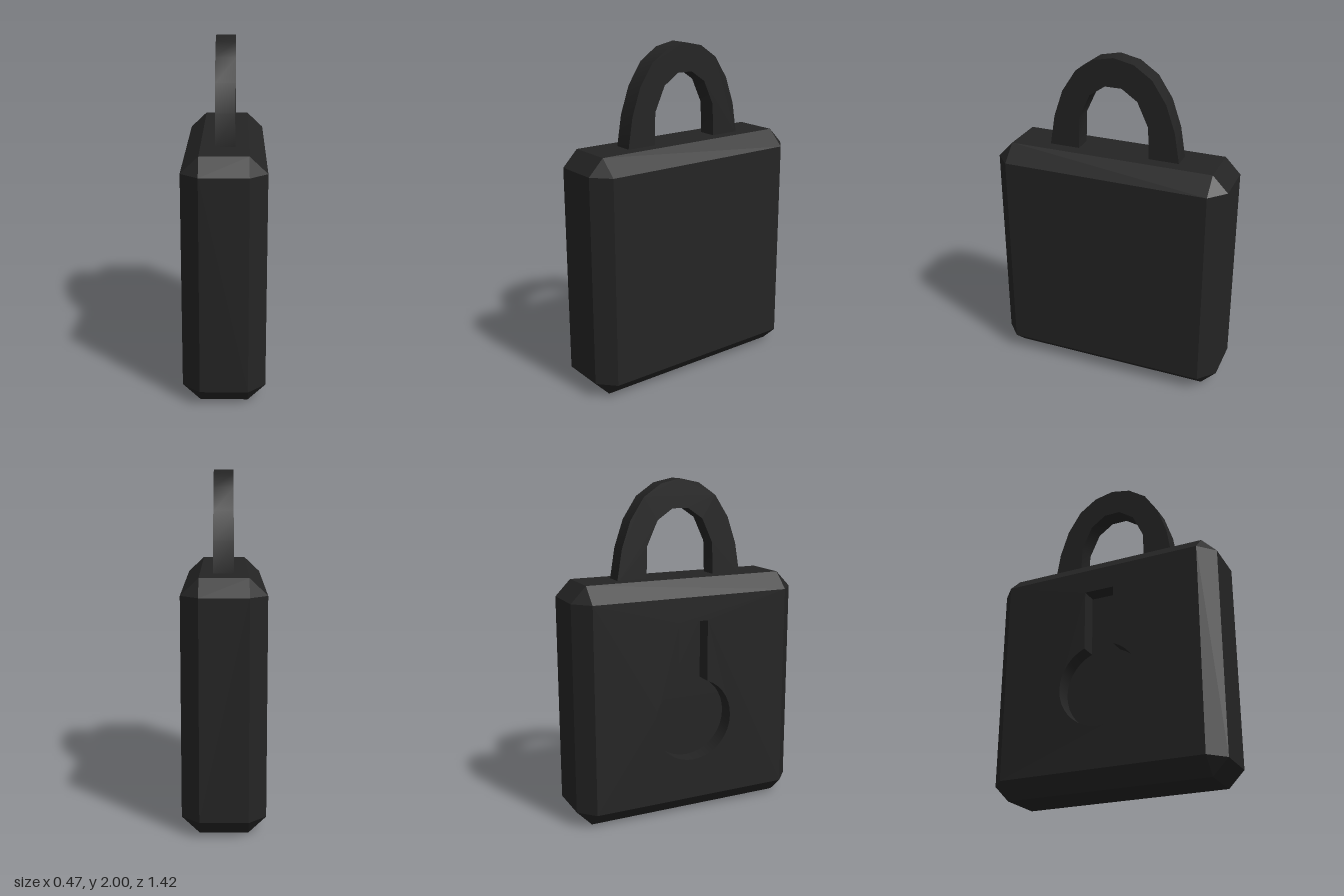
import * as THREE from 'three';
import { toCreasedNormals } from 'three/addons/utils/BufferGeometryUtils.js';
import { ConvexGeometry } from 'three/addons/geometries/ConvexGeometry.js';

const HALF = { x: 0.235, y: 0.715, z: 0.712 };   // body half sizes
const FLAT = { x: 0.135, y: 0.62, z: 0.62 };     // half sizes of the flat faces
const MID_Y = 0.715;
const RECESS = 0.1;

// Chamfered block, left open on the -x side where the keyhole plate goes
function bodyShell() {
  const points = [];
  for (const sx of [-1, 1]) for (const sy of [-1, 1]) for (const sz of [-1, 1]) {
    for (const axis of ['x', 'y', 'z']) {
      const p = new THREE.Vector3(FLAT.x * sx, FLAT.y * sy, FLAT.z * sz);
      p[axis] = HALF[axis] * { x: sx, y: sy, z: sz }[axis];
      points.push(p);
    }
  }
  const pos = new ConvexGeometry(points).getAttribute('position');
  const kept = [];
  for (let i = 0; i < pos.count; i += 3) {
    const open = [0, 1, 2].every(k => pos.getX(i + k) < -HALF.x + 1e-4);
    if (open) continue;
    for (let k = 0; k < 3; k++) kept.push(pos.getX(i + k), pos.getY(i + k) + MID_Y, pos.getZ(i + k));
  }
  const geo = new THREE.BufferGeometry();
  geo.setAttribute('position', new THREE.Float32BufferAttribute(kept, 3));
  geo.computeVertexNormals();
  return geo;
}

// Keyhole outline, counter-clockwise: round hole with a slot above it
function keyholeOutline() {
  const r = 0.25, cy = 0.59, slot = 0.092, top = 1.19, steps = 32;
  const gap = Math.asin(slot / r);
  const pts = [];
  for (let i = 0; i <= steps; i++) {
    const a = Math.PI / 2 + gap + (i / steps) * (Math.PI * 2 - gap * 2);
    pts.push(new THREE.Vector2(r * Math.cos(a), cy + r * Math.sin(a)));
  }
  pts.push(new THREE.Vector2(slot, top), new THREE.Vector2(-slot, top));
  return pts;
}

// Side walls of the recess, facing inwards
function recessWalls(outline) {
  const v = [];
  outline.forEach((a, i) => {
    const b = outline[(i + 1) % outline.length];
    v.push(a.x, a.y, 0, b.x, b.y, 0, b.x, b.y, -RECESS);
    v.push(a.x, a.y, 0, b.x, b.y, -RECESS, a.x, a.y, -RECESS);
  });
  const geo = new THREE.BufferGeometry();
  geo.setAttribute('position', new THREE.Float32BufferAttribute(v, 3));
  return toCreasedNormals(geo, 0.5);
}

// Arched shackle drawn in the z-y plane and extruded across x
function shackleGeometry() {
  const outer = [[0.4, 1.42], [0.4, 1.43], [0.37, 1.61], [0.315, 1.77], [0.23, 1.9], [0.12, 1.975]];
  const inner = [[0.05, 1.83], [0.145, 1.765], [0.212, 1.62], [0.218, 1.42]];
  const mirror = list => list.map(([z, y]) => [-z, y]).reverse();
  const path = [...outer, [0, 2], ...mirror(outer), ...mirror(inner), ...inner];
  const shape = new THREE.Shape(path.map(p => new THREE.Vector2(...p)));
  const geo = new THREE.ExtrudeGeometry(shape, { depth: 0.114, bevelEnabled: false });
  geo.translate(0, 0, -0.06);
  return toCreasedNormals(geo, 0.75);
}

export function createModel() {
  const group = new THREE.Group();
  group.name = 'padlock';
  const black = new THREE.MeshStandardMaterial({ color: 0x242424 });
  black.name = 'black';

  const add = (name, geo) => {
    const mesh = new THREE.Mesh(geo, black);
    mesh.name = name;
    group.add(mesh);
    return mesh;
  };
  // Shapes are drawn facing +z, then turned to face -x
  const addSide = (name, geo, x) => {
    const mesh = add(name, geo);
    mesh.rotation.y = -Math.PI / 2;
    mesh.position.x = x;
  };

  add('body', bodyShell());

  // Keyhole side
  const outline = keyholeOutline();
  const plate = new THREE.Shape([[-1, -1], [1, -1], [1, 1], [-1, 1]].map(
    ([a, b]) => new THREE.Vector2(a * FLAT.z, MID_Y + b * FLAT.y)));
  plate.holes.push(new THREE.Path(outline));
  addSide('keyholePlate', new THREE.ShapeGeometry(plate), -HALF.x);
  addSide('keyholeWalls', recessWalls(outline), -HALF.x);
  addSide('keyholeFloor', new THREE.ShapeGeometry(new THREE.Shape(outline)), -HALF.x + RECESS);

  addSide('shackle', shackleGeometry(), 0);
  return group;
}
